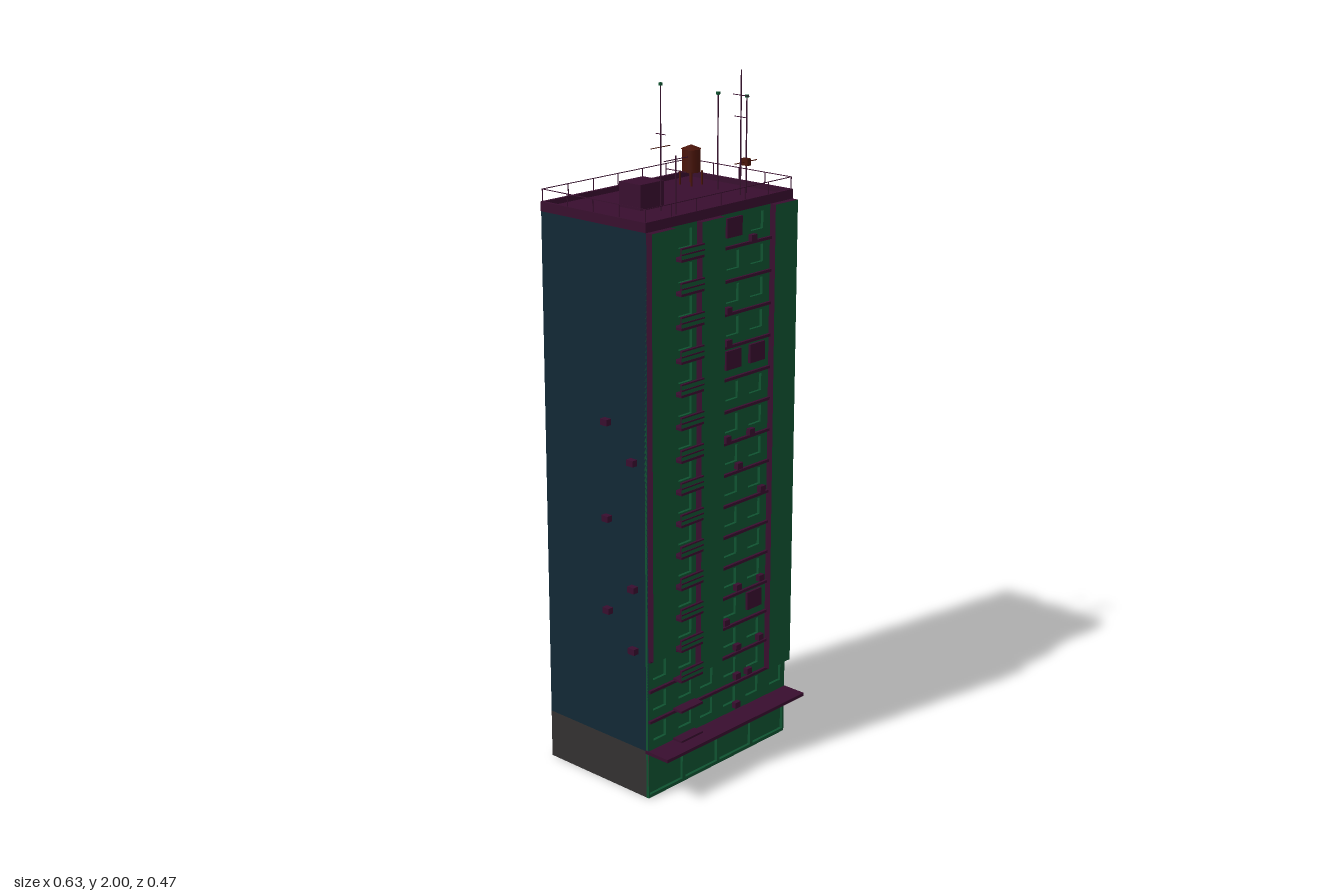
import * as THREE from 'three';

const mat = (name, color, side = THREE.DoubleSide) => {
  const m = new THREE.MeshStandardMaterial({ color, side });
  m.name = name;
  return m;
};

export function createModel() {
  const green = mat('green facade', 0x0f5230);
  const purple = mat('purple trim', 0x380e2e);
  const blue = mat('blue side wall', 0x112835);
  const grey = mat('grey plinth', 0x323030);
  const rust = mat('rust', 0x4a1409);
  const greenFront = [purple, purple, purple, purple, green, purple];

  const root = new THREE.Group();
  root.name = 'towerBlock';
  const add = (name, geo, m, x = 0, y = 0, z = 0) => {
    const mesh = new THREE.Mesh(geo, m);
    mesh.name = name;
    mesh.position.set(x, y, z);
    root.add(mesh);
    return mesh;
  };
  // box given by its limits on each axis
  const box = (name, m, x0, x1, y0, y1, z0, z1) =>
    add(name, new THREE.BoxGeometry(x1 - x0, y1 - y0, z1 - z0), m, (x0 + x1) / 2, (y0 + y1) / 2, (z0 + z1) / 2);

  const W = 0.295, BACK = -0.235, FRONT = 0.16, BASE = 0.145, TOP = 1.64;
  const PITCH = (TOP - BASE) / 16;
  const floorY = i => BASE + i * PITCH;

  // side and back walls: thin open shell, open underneath
  const depth = FRONT - BACK, midZ = (FRONT + BACK) / 2;
  for (const [y0, y1, sideMat, backMat] of [[0, BASE, grey, purple], [BASE, TOP, blue, green]]) {
    for (const s of [-1, 1]) {
      const wall = add('sideWall', new THREE.PlaneGeometry(depth, y1 - y0), sideMat, s * W, (y0 + y1) / 2, midZ);
      wall.rotation.y = s * Math.PI / 2;
    }
    const back = add('backWall', new THREE.PlaneGeometry(2 * W, y1 - y0), backMat, 0, (y0 + y1) / 2, BACK);
    back.rotation.y = Math.PI;
  }

  // front wall with window openings and set-back panes
  const rect = (P, x0, x1, y0, y1) => {
    const p = new P();
    p.moveTo(x0, y0); p.lineTo(x1, y0); p.lineTo(x1, y1); p.lineTo(x0, y1); p.closePath();
    return p;
  };
  const facade = rect(THREE.Shape, -W, W, 0, TOP);
  const opening = (name, x0, x1, y0, y1) => {
    facade.holes.push(rect(THREE.Path, x0, x1, y0, y1));
    box(name, green, x0 - 0.002, x1 + 0.002, y0 - 0.002, y1 + 0.002, 0.143, 0.151);
  };
  for (let i = 0; i < 4; i++) {
    const x = -0.29 + i * 0.1475;
    opening('shopWindow', x, x + 0.136, 0.01, 0.105);
  }
  const columns = [-0.25, -0.145, -0.055, 0.045, 0.145, 0.25];
  const panelStart = [3, 99, 2, 99, 99, 1]; // floor where a raised panel covers the column
  for (let f = 0; f < 16; f++) {
    columns.forEach((x, c) => {
      if (f < panelStart[c]) opening('window', x - 0.026, x + 0.026, floorY(f) + 0.03, floorY(f) + 0.08);
    });
  }
  add('frontWall', new THREE.ExtrudeGeometry(facade, { depth: 0.01, bevelEnabled: false }), green, 0, 0, 0.15);

  // raised facade panels
  for (const [x0, x1, f] of [[-W, -0.203, 3], [-0.1, -0.007, 2], [0.2, W, 1]])
    box('facadePanel', greenFront, x0, x1, floorY(f) + 0.003, TOP, FRONT, 0.18);

  // floor ledges
  for (let f = 1; f < 16; f++) {
    const y = floorY(f);
    const x0 = f <= 2 ? -W : -0.007;
    box('floorLedge', purple, x0, f === 1 ? W : 0.2, y - 0.004, y + 0.004, FRONT, 0.168);
    if (f === 3) box('floorLedge', purple, -W, -0.1, y - 0.004, y + 0.004, FRONT, 0.168);
  }

  // balconies
  for (let f = 0; f < 16; f++) {
    const y = floorY(f);
    box('balconySlab', purple, -0.195, -0.105, y + 0.002, y + 0.009, FRONT, 0.193);
    if (f < 2) continue;
    box('balconyFront', greenFront, -0.195, -0.105, y + 0.009, y + 0.038, 0.188, 0.192);
    for (const h of [0.02, 0.036])
      box('balconyRail', purple, -0.195, -0.105, y + h, y + h + 0.004, 0.187, 0.194);
  }

  // covered windows
  for (const [x, f] of [[0.045, 15], [0.045, 11], [0.145, 11], [0.145, 3]])
    box('windowCover', purple, x - 0.031, x + 0.031, floorY(f) + 0.028, floorY(f) + 0.082, 0.15, 0.168);

  // cooling units on the front
  for (const [x, y] of [[0.12, 1.56], [0.02, 1.372], [0.02, 1.28], [0.02, 1.0], [0.12, 1.0], [0.07, 0.91],
    [0.17, 0.815], [0.07, 0.54], [0.17, 0.54], [0.02, 0.445], [0.07, 0.352], [0.17, 0.352],
    [0.07, 0.26], [0.12, 0.26], [0.07, 0.168]])
    box('coolingUnit', purple, x - 0.011, x + 0.011, y - 0.009, y + 0.009, FRONT, 0.174);

  // cooling units on the sides
  for (const [s, y, z] of [[1, 1.465, 0.012], [1, 1.185, 0.012], [1, 1.0, -0.088], [1, 0.91, -0.088], [1, 0.54, 0.11],
    [-1, 1.095, 0.012], [-1, 1.0, 0.11], [-1, 0.815, 0.012], [-1, 0.63, 0.11], [-1, 0.54, 0.012], [-1, 0.445, 0.11]])
    add('sideCoolingUnit', new THREE.BoxGeometry(0.018, 0.018, 0.024), purple, s * 0.304, y, z);

  // entrance canopy
  box('canopy', purple, -0.297, 0.297, 0.138, 0.148, 0.15, 0.235);

  // roof slab and rim
  const R = 0.297, RB = -0.235, RF = 0.16;
  box('roofSlab', purple, -R, R, TOP, 1.652, RB, RF);
  for (const s of [-1, 1])
    box('roofRim', purple, s > 0 ? R - 0.009 : -R, s > 0 ? R : -R + 0.009, 1.652, 1.667, RB, RF);
  box('roofRim', purple, -R, R, 1.652, 1.667, RB, RB + 0.009);
  box('roofRim', purple, -R, R, 1.652, 1.667, RF - 0.009, RF);

  // roof railing
  const t = 0.001;
  const post = (x, z) => box('railPost', purple, x - t, x + t, 1.66, 1.702, z - t, z + t);
  const X = 0.293, Z0 = -0.231, Z1 = 0.156;
  for (let i = 0; i <= 6; i++) for (const z of [Z0, Z1]) post(-X + i * X / 3, z);
  for (let i = 1; i < 4; i++) for (const x of [-X, X]) post(x, Z0 + i * (Z1 - Z0) / 4);
  for (const z of [Z0, Z1]) box('topRail', purple, -X, X, 1.7, 1.702, z - t, z + t);
  for (const x of [-X, X]) box('topRail', purple, x - t, x + t, 1.7, 1.702, Z0, Z1);

  // lift housing
  box('liftHousing', purple, -0.15, -0.057, 1.652, 1.722, -0.08, 0);

  // water tank on legs
  add('waterTank', new THREE.CylinderGeometry(0.027, 0.027, 0.066, 12), rust, 0.203, 1.722, -0.14);
  add('tankLid', new THREE.ConeGeometry(0.029, 0.012, 12), rust, 0.203, 1.761, -0.14);
  for (const sx of [-1, 1]) for (const sz of [-1, 1])
    add('tankLeg', new THREE.BoxGeometry(0.004, 0.04, 0.004), rust, 0.203 + sx * 0.022, 1.672, -0.14 + sz * 0.022);

  // aerials: position, top, whether tipped
  for (const [x, z, top, tipped] of [[-0.113, 0.04, 1.995, true], [-0.115, 0.097, 1.81, false],
    [0.188, 0.06, 2.0, false], [0.203, -0.038, 1.925, true], [0.22, 0.053, 1.925, true]]) {
    add('aerialMast', new THREE.CylinderGeometry(0.0018, 0.0025, top - 1.652, 6), purple, x, (top + 1.652) / 2, z);
    if (tipped) add('aerialTip', new THREE.BoxGeometry(0.008, 0.008, 0.008), green, x, top - 0.002, z);
  }
  // aerial cross arms: centre and extents
  for (const [x, y, z, lx, lz, m] of [[-0.113, 1.825, 0.04, 0.076, 0.002, rust], [-0.113, 1.86, 0.04, 0.002, 0.036, purple],
    [-0.115, 1.8, 0.097, 0.092, 0.002, purple], [-0.115, 1.77, 0.1, 0.002, 0.07, purple],
    [0.188, 1.93, 0.06, 0.002, 0.06, purple], [0.188, 1.87, 0.06, 0.002, 0.045, purple],
    [0.218, 1.74, 0.053, 0.092, 0.003, rust], [0.22, 1.74, 0.053, 0.014, 0.022, rust]])
    add('aerialArm', new THREE.BoxGeometry(lx, lz === 0.022 ? 0.02 : 0.002, lz), m, x, y, z);

  return root;
}
